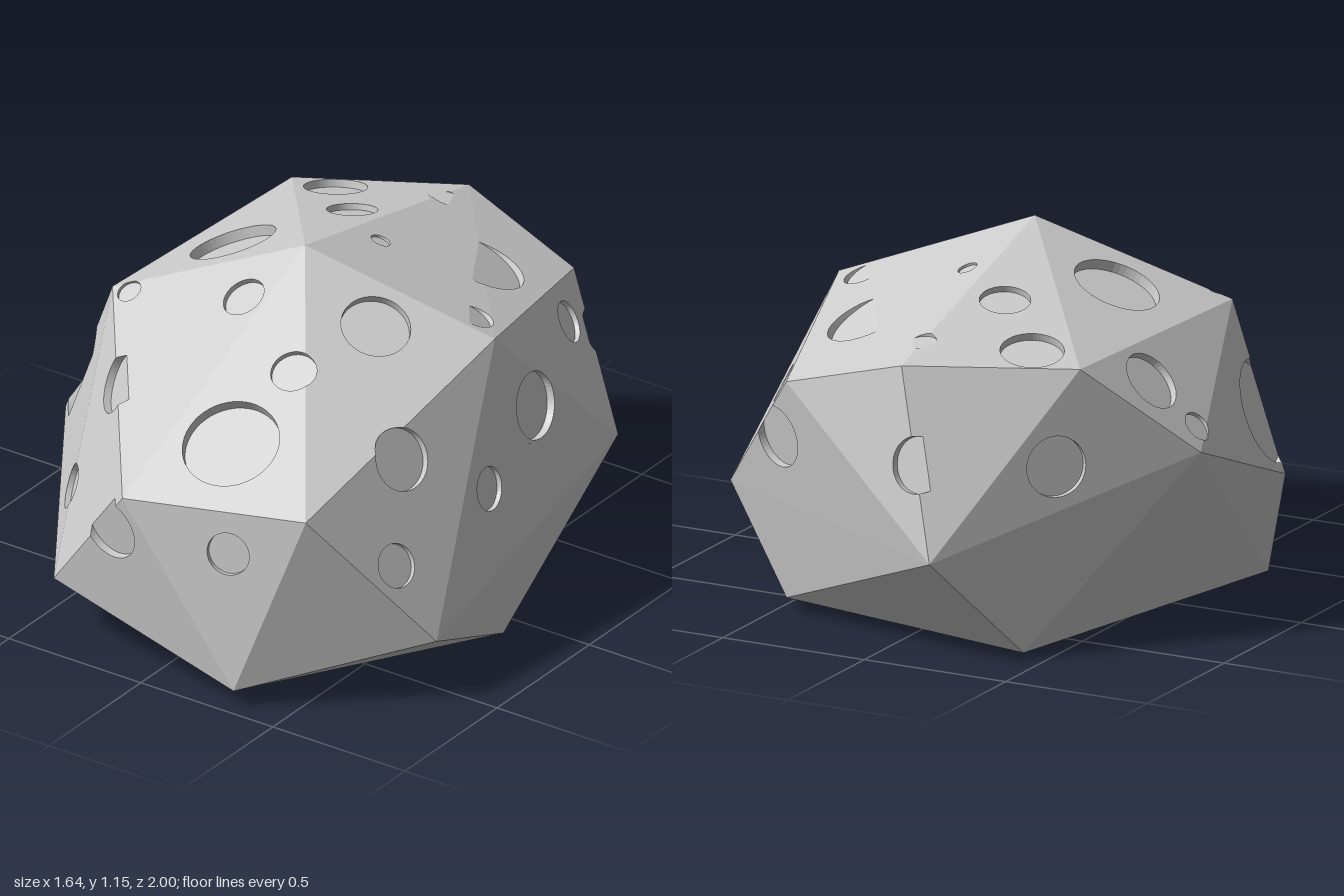
import * as THREE from 'three';
import { ConvexGeometry } from 'three/addons/geometries/ConvexGeometry.js';

const V = (x, y, z) => new THREE.Vector3(x, y, z);
const SIDES = 48;

// Corners of the faceted boulder
const CORNERS = [
  [0, 1.15, 0.11], [0.6, 0.93, -0.06], [-0.59, 0.91, 0.31], [-0.54, 0.91, -0.59], [-0.05, 0.92, -0.85],
  [0.39, 0.79, -0.79], [0.52, 0.66, 0.85], [-0.07, 0.63, 1], [-0.82, 0.61, -0.32], [-0.81, 0.39, 0.25],
  [0.69, 0.38, -0.6], [-0.23, 0.34, -1], [0.82, 0.21, 0.57], [-0.4, 0.2, 0.9],
  [0.33, 0.06, 0.97], [0.78, 0.04, 0.15], [0.47, 0.04, -0.64], [-0.4, 0, -0.7], [-0.69, 0.03, 0.36],
];

// Craters by the side they are aimed from: two coordinates, radius, optional tilt and depth
const CRATERS = [
  { dir: V(0, 1, 0), at: (x, z) => V(x, 0, z), list: [
    [-0.36, -0.57, 0.1], [-0.64, -0.31, 0.1], [-0.15, -0.36, 0.08], [-0.35, 0, 0.14], [0.07, -0.2, 0.032],
    [-0.03, -0.69, 0.05, V(-0.2, 0, 0.1), 0.005], [0.28, -0.445, 0.143, V(0.2, 0, -0.12), 0.004],
    [0.485, -0.115, 0.062, V(0.22, 0, -0.16), 0.004],
    [-0.52, 0.32, 0.04], [-0.1, 0.3, 0.07], [0.2, 0.46, 0.072], [0.31, 0.17, 0.11]] },
  { dir: V(0, 0, 1), at: (x, y) => V(x, y, 0), list: [
    [0.28, 0.51, 0.07], [0.15, 0.77, 0.155], [-0.14, 0.49, 0.105], [-0.36, 0.78, 0.1], [-0.48, 0.41, 0.072]] },
  { dir: V(1, 0, 0), at: (z, y) => V(0, y, z), list: [
    [-0.6, 0.72, 0.068], [-0.2, 0.65, 0.108], [0.13, 0.52, 0.07], [0.43, 0.72, 0.1], [0.6, 0.45, 0.07]] },
  { dir: V(-1, 0, 0), at: (z, y) => V(0, y, z), list: [[-0.25, 0.67, 0.05], [0.27, 0.58, 0.17]] },
  { dir: V(0, 0, -1), at: (x, y) => V(x, y, 0), list: [
    [0.45, 0.59, 0.1], [-0.14, 0.63, 0.09], [-0.5, 0.61, 0.097]] },
];

// Splits a convex polygon by a plane into the part behind it and the part before it
function split(poly, { n, w }) {
  const inside = [], outside = [];
  poly.forEach((a, i) => {
    const b = poly[(i + 1) % poly.length];
    const da = n.dot(a) - w, db = n.dot(b) - w;
    if (da <= 1e-7) inside.push(a);
    if (da >= -1e-7) outside.push(a);
    if ((da > 1e-7 && db < -1e-7) || (da < -1e-7 && db > 1e-7)) {
      const p = a.clone().lerp(b, da / (da - db));
      inside.push(p);
      outside.push(p);
    }
  });
  return [inside, outside];
}

// Keeps only what lies behind every plane
const clip = (poly, planes) => planes.reduce((p, pl) => (p.length > 2 ? split(p, pl)[0] : []), poly);

// Removes a convex solid from a polygon, leaving convex pieces
function cut(poly, planes) {
  const pieces = [];
  let rest = poly;
  for (const plane of planes) {
    const [inside, outside] = split(rest, plane);
    if (inside.length < 3) return [poly];
    if (outside.length > 2 && outside.some((p) => plane.n.dot(p) - plane.w > 1e-6)) pieces.push(outside);
    rest = inside;
  }
  return pieces;
}

// A shallow round pit: its bounding planes, wall quads and floor
function makeCrater(hull, dir, point, r, tilt, depth = 0.25 * r) {
  let t = Infinity, axis;
  for (const { n, w } of hull) {
    const slope = n.dot(dir);
    if (slope < 1e-4) continue;
    const hit = (w - n.dot(point)) / slope;
    if (hit < t) { t = hit; axis = n.clone(); }
  }
  if (tilt) axis.add(tilt).normalize();
  const floor = point.clone().addScaledVector(dir, t).addScaledVector(axis, -depth);
  const u = V(axis.y, axis.z, axis.x).cross(axis).normalize();
  const v = axis.clone().cross(u);
  const spoke = (i) => {
    const a = (i / SIDES) * Math.PI * 2;
    return u.clone().multiplyScalar(Math.cos(a)).addScaledVector(v, Math.sin(a));
  };
  const ring = [], planes = [{ n: axis.clone().negate(), w: -axis.dot(floor) }], walls = [];
  for (let i = 0; i < SIDES; i++) {
    ring.push(floor.clone().addScaledVector(spoke(i), r));
    const n = spoke(i + 0.5);
    planes.push({ n, w: n.dot(floor) + r * Math.cos(Math.PI / SIDES) });
  }
  const raise = (p) => p.clone().addScaledVector(axis, 0.3);
  ring.forEach((a, i) => {
    const b = ring[(i + 1) % SIDES];
    walls.push([b, a, raise(a), raise(b)]);
  });
  return { planes, lining: [ring, ...walls].map((p) => clip(p, hull)).filter((p) => p.length > 2) };
}

function polygonMesh(name, polys, material) {
  const pos = [];
  for (const p of polys)
    for (let i = 1; i < p.length - 1; i++)
      for (const q of [p[0], p[i], p[i + 1]]) pos.push(q.x, q.y, q.z);
  const geo = new THREE.BufferGeometry();
  geo.setAttribute('position', new THREE.Float32BufferAttribute(pos, 3));
  geo.computeVertexNormals();
  const mesh = new THREE.Mesh(geo, material);
  mesh.name = name;
  return mesh;
}

export function createModel() {
  const group = new THREE.Group();
  group.name = 'crateredBoulder';
  const material = new THREE.MeshStandardMaterial({ color: 0xcccccc, flatShading: true });

  // Faceted body and its face planes
  const pos = new ConvexGeometry(CORNERS.map((c) => V(...c))).getAttribute('position');
  let faces = [];
  for (let i = 0; i < pos.count; i += 3)
    faces.push([0, 1, 2].map((k) => V().fromBufferAttribute(pos, i + k)));
  const hull = faces.map(([a, b, c]) => {
    const n = b.clone().sub(a).cross(c.clone().sub(a)).normalize();
    return { n, w: n.dot(a) };
  });

  // Craters cut into the body, each with its own wall and floor
  const linings = [];
  for (const { dir, at, list } of CRATERS)
    for (const [p, q, r, tilt, depth] of list) {
      const { planes, lining } = makeCrater(hull, dir, at(p, q), r, tilt, depth);
      faces = faces.flatMap((f) => cut(f, planes));
      linings.push(...lining);
    }

  group.add(polygonMesh('rockSurface', faces, material), polygonMesh('craterLinings', linings, material));
  return group;
}
